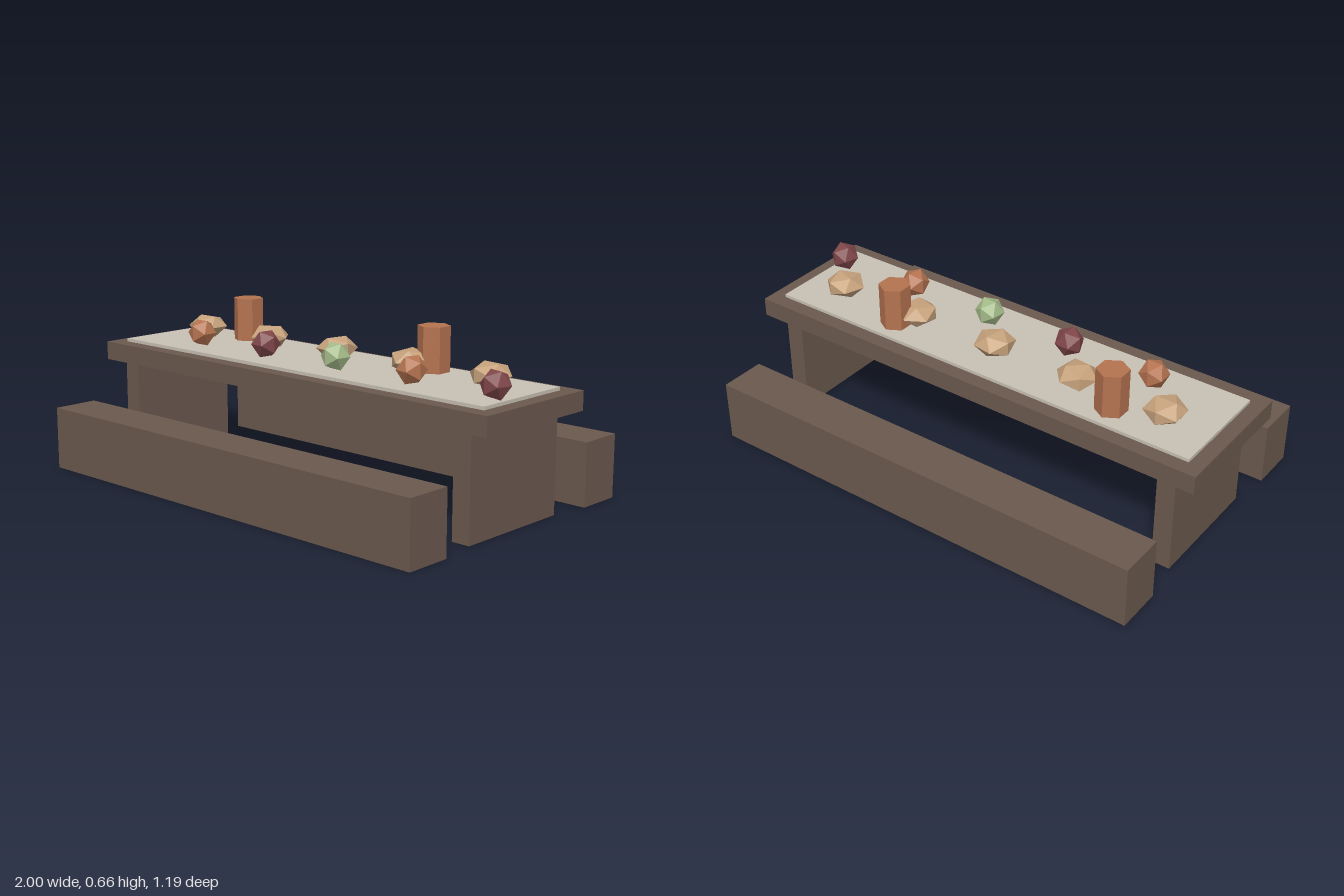
import * as THREE from 'three';

const mat = (name, color) => {
  const m = new THREE.MeshStandardMaterial({ color, flatShading: true });
  m.name = name;
  return m;
};

export function createModel() {
  const group = new THREE.Group();
  const wood = mat('dark wood', 0x6b594e);
  const cloth = mat('linen', 0xc8c0b4);
  const crust = mat('bread crust', 0xc6a27c);
  const clay = mat('clay orange', 0xb57350);
  const red = mat('plum red', 0x7f4649);
  const green = mat('apple green', 0xa3ba88);

  const add = (name, geometry, material, x, y, z) => {
    const mesh = new THREE.Mesh(geometry, material);
    mesh.name = name;
    mesh.position.set(x, y, z);
    group.add(mesh);
    return mesh;
  };
  const box = (name, w, h, d, material, x, bottom, z) =>
    add(name, new THREE.BoxGeometry(w, h, d), material, x, bottom + h / 2, z);

  // Table, cloth, slab legs and benches
  box('tableTop', 2, 0.075, 0.56, wood, 0, 0.4, 0);
  box('tableCloth', 1.88, 0.013, 0.44, cloth, 0, 0.475, 0);
  for (const side of [-1, 1]) {
    box('tableLeg', 0.075, 0.4, 0.5, wood, side * 0.875, 0, 0);
    box('bench', 1.88, 0.25, 0.1875, wood, 0, 0, side * 0.5);
  }

  // Flattened loaves along the back, round fruit along the front
  const fruitColors = [clay, red, green];
  for (let i = 0; i < 5; i++) {
    const x = -0.75 + i * 0.375;
    const loaf = add('breadLoaf', new THREE.IcosahedronGeometry(0.083, 0), crust, x, 0.53, -0.065);
    loaf.scale.y = 0.6;
    loaf.rotation.y = i * 0.7;
    const fruit = add('fruit', new THREE.IcosahedronGeometry(0.059, 0), fruitColors[i % 3], x + 0.145, 0.538, 0.098);
    fruit.rotation.y = i * 1.5;
  }

  // Six-sided cups
  for (const x of [-0.5625, 0.4375])
    add('cup', new THREE.CylinderGeometry(0.0625, 0.0625, 0.175, 6), clay, x, 0.575, -0.125);

  return group;
}
